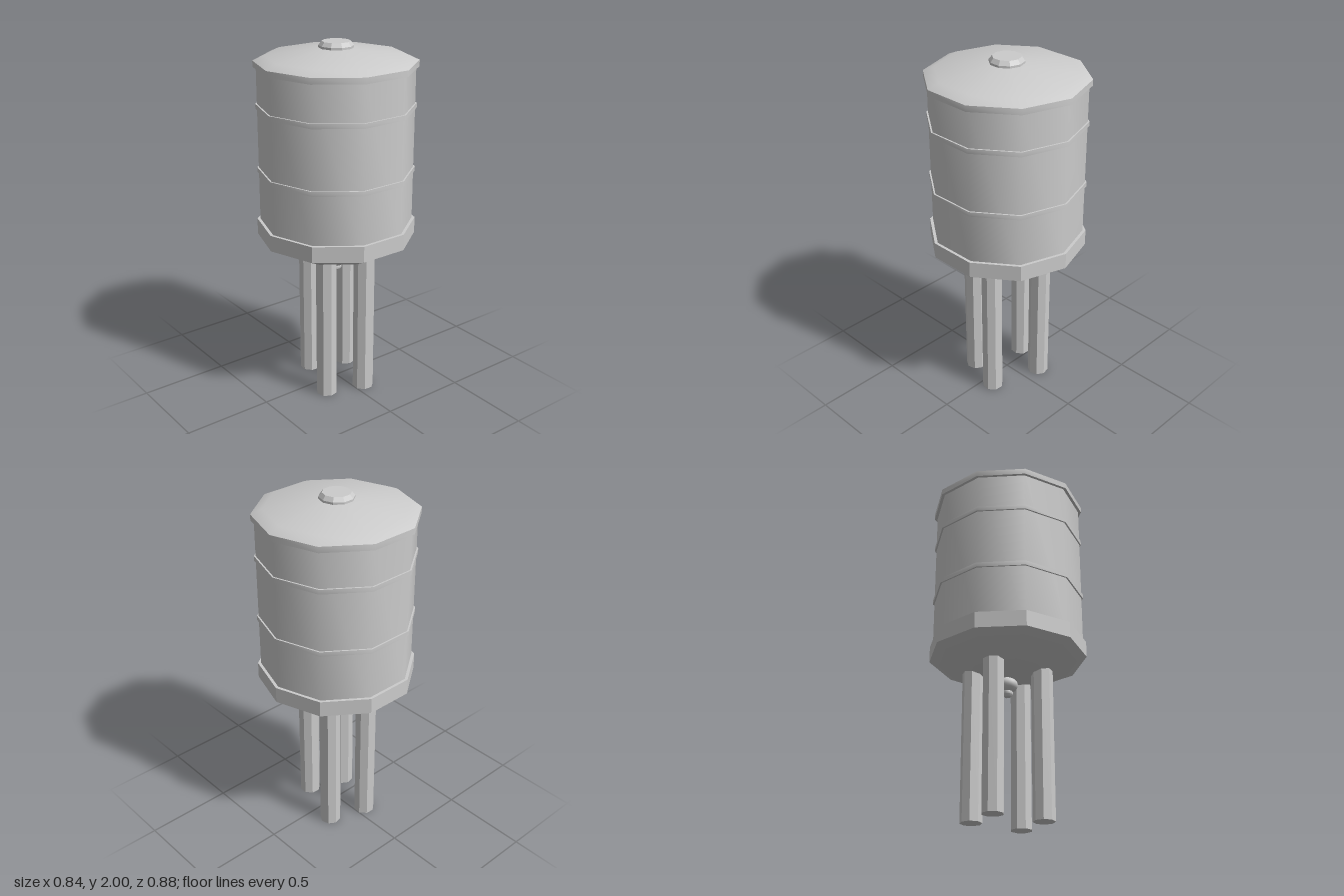
import * as THREE from 'three';
import { toCreasedNormals } from 'three/addons/utils/BufferGeometryUtils.js';

const SMOOTH = 0.75; // keeps the ten-sided walls smooth, rims sharp
const FLAT = 0.3; // facets every side

export function createModel() {
  const model = new THREE.Group();
  const material = new THREE.MeshStandardMaterial({ color: 0xcccccc });

  // Turns a bottom-to-top profile of [radius, y] around the y axis
  function turned(name, profile, crease = SMOOTH, sides = 10) {
    const points = profile.map(([r, y]) => new THREE.Vector2(r, y));
    const geometry = toCreasedNormals(new THREE.LatheGeometry(points, sides), crease);
    const mesh = new THREE.Mesh(geometry, material);
    mesh.name = name;
    model.add(mesh);
    return mesh;
  }

  // Tank body
  turned('tankWall', [[0.423, 0.95], [0.423, 1.88]]);
  turned('tankBottom', [[0, 0.8], [0.1, 0.806], [0.315, 0.857], [0.44, 0.92]]);
  turned('baseBand', [[0.44, 0.92], [0.44, 1.01], [0.42, 1.01]], FLAT);

  // Hoops around the wall
  for (const y of [1.285, 1.64]) {
    turned('hoop', [[0.42, y], [0.432, y], [0.432, y + 0.026], [0.42, y + 0.026]]);
  }

  // Lid with rim and cap
  turned('lid', [[0.42, 1.865], [0.44, 1.865], [0.44, 1.898], [0.38, 1.925], [0.09, 1.967], [0, 1.97]]);
  turned('lidCap', [[0.094, 1.96], [0.094, 1.978], [0.077, 2], [0, 2]], FLAT);

  // Drain ball and nozzle under the tank
  const ball = new THREE.Mesh(new THREE.SphereGeometry(0.058, 16, 12), material);
  ball.name = 'drainBall';
  ball.scale.y = 0.74;
  ball.position.y = 0.764;
  model.add(ball);
  turned('drainNozzle', [[0, 0.695], [0.018, 0.695], [0.03, 0.708], [0.03, 0.722], [0.02, 0.74]]);

  // Legs on a circle, two opposite pairs
  for (const degrees of [36, 108, 216, 288]) {
    const leg = turned('leg', [[0, 0], [0.06, 0], [0.06, 0.84], [0, 0.84]], FLAT, 8);
    const angle = THREE.MathUtils.degToRad(degrees);
    leg.position.set(0.19 * Math.sin(angle), 0, 0.19 * Math.cos(angle));
    leg.rotation.y = angle;
  }

  return model;
}
